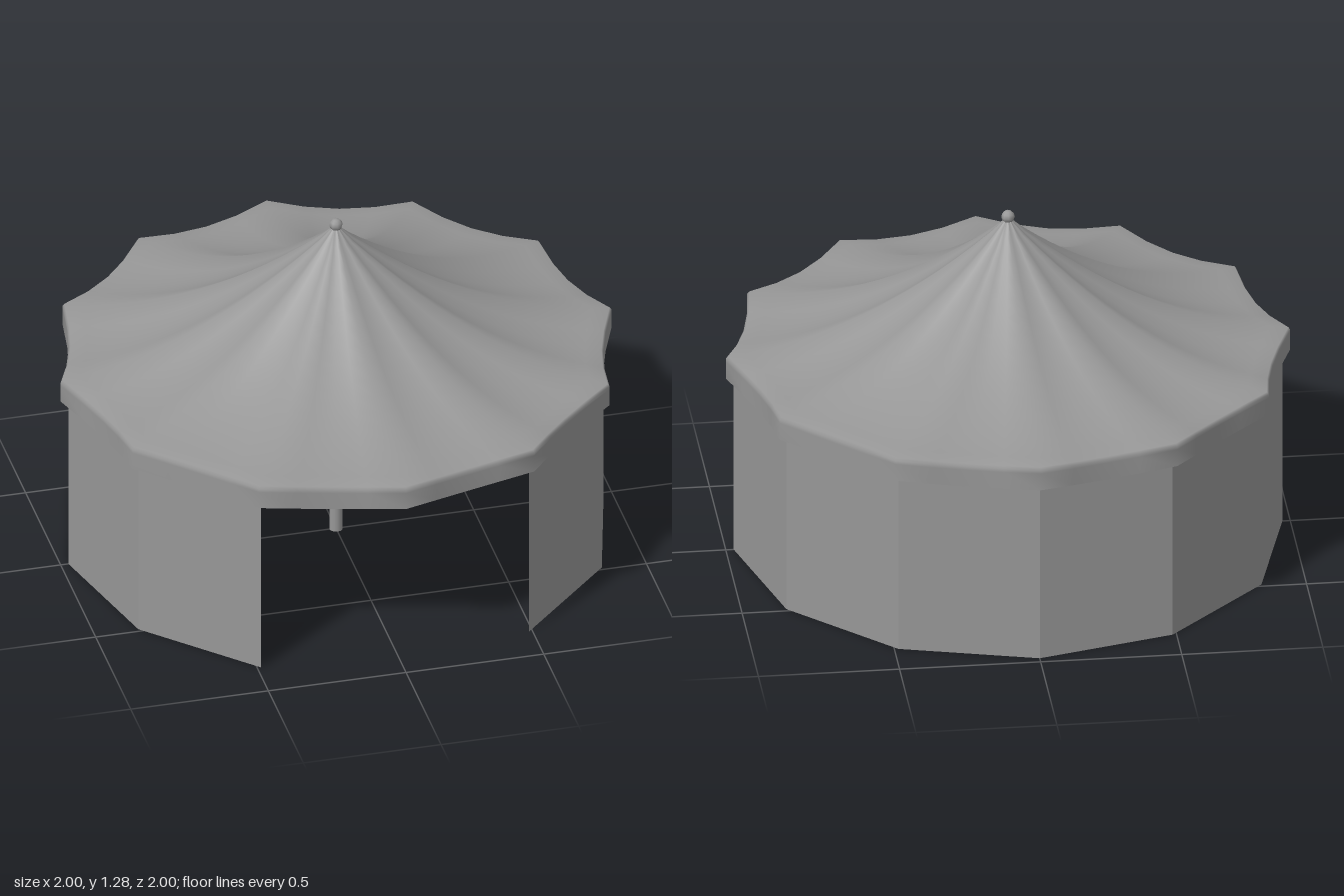
import * as THREE from 'three';

const SIDES = 12;      // ridges of the canopy
const STEPS = 4;       // columns per panel
const ROWS = 16;       // rings from peak to rim
const RIM_Y = 0.762;

const mat = (extra = {}) => new THREE.MeshStandardMaterial({ color: 0x979797, ...extra });

function named(name, geometry, material, y) {
  const mesh = new THREE.Mesh(geometry, material);
  mesh.name = name;
  mesh.position.y = y;
  return mesh;
}

// Canopy: a sagging ridge profile, scalloped inwards between the ridges, with a hanging valance
function canopyGeometry() {
  // Each ring: radius, height, and how far the panel middles drop
  const rings = [];
  for (let i = 0; i <= ROWS; i++) {
    const t = i / ROWS, s = 1 - t;
    rings.push([Math.max(t * 0.993, 0.004), RIM_Y + 0.09 * s + 0.4 * s * s, 0.017 * t + 0.008 * Math.sin(Math.PI * t)]);
  }
  for (const y of [RIM_Y - 0.009, 0.74, 0.675]) rings.push([1, y, 0.017]);

  const cols = SIDES * STEPS, pos = [], index = [];
  rings.forEach(([r, y, drop], i) => {
    for (let j = 0; j < cols; j++) {
      const u = (j % STEPS) / STEPS;
      const bow = 4 * u * (1 - u);
      const a = (j / cols) * Math.PI * 2;
      // straight chord between ridges, pulled in further by the scallop
      const chord = Math.cos(Math.PI / SIDES) / Math.cos((u - 0.5) * 2 * Math.PI / SIDES);
      const radius = r * (chord - 0.025 * bow);
      pos.push(Math.sin(a) * radius, y - drop * bow, Math.cos(a) * radius);
      if (i === 0) continue;
      const k = (j + 1) % cols;
      const a0 = (i - 1) * cols + j, b0 = (i - 1) * cols + k;
      const a1 = i * cols + j, b1 = i * cols + k;
      index.push(a0, a1, b1, a0, b1, b0);
    }
  });
  const g = new THREE.BufferGeometry();
  g.setAttribute('position', new THREE.Float32BufferAttribute(pos, 3));
  g.setIndex(index);
  g.computeVertexNormals();
  return g;
}

export function createModel() {
  const tent = new THREE.Group();
  tent.name = 'pavilionTent';

  tent.add(named('canopy', canopyGeometry(), mat({ side: THREE.DoubleSide }), 0));

  // Ten flat wall panels, leaving two open at the front
  const panel = (Math.PI * 2) / SIDES, wallH = 0.735;
  tent.add(named('walls',
    new THREE.CylinderGeometry(0.972, 0.972, wallH, SIDES - 2, 1, true, panel, panel * (SIDES - 2)),
    mat({ side: THREE.DoubleSide, flatShading: true }), wallH / 2));

  // Centre pole and the knob on the peak
  const poleH = 1.19;
  tent.add(named('centrePole', new THREE.CylinderGeometry(0.024, 0.024, poleH, 12), mat(), poleH / 2));
  tent.add(named('finial', new THREE.SphereGeometry(0.024, 8, 6), mat(), 1.255));
  return tent;
}
